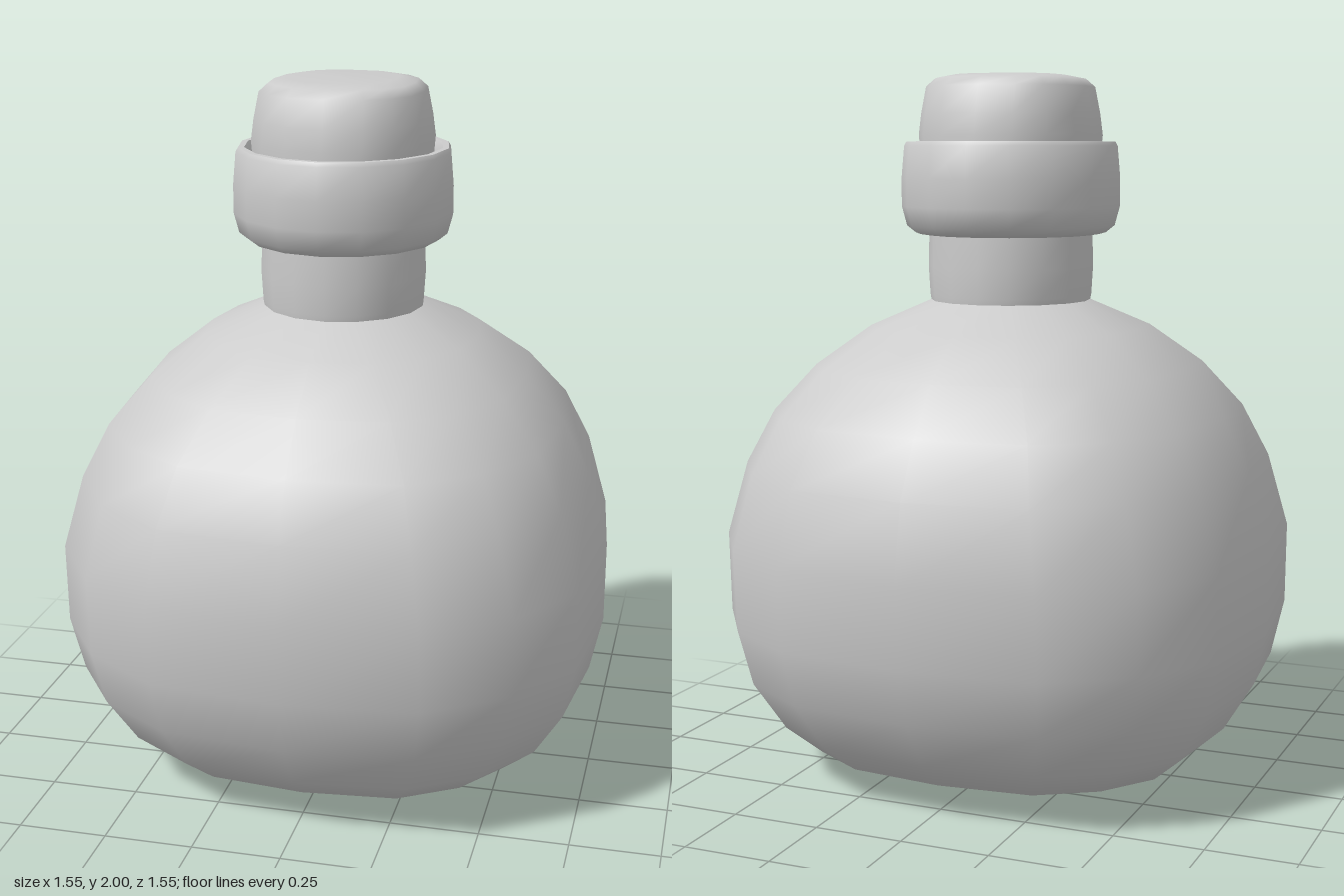
import * as THREE from 'three';
import { toCreasedNormals } from 'three/addons/utils/BufferGeometryUtils.js';

const SIDES = 16;
// One eighth-turn of unit outline: [round point, squarish point]
const OUTLINE = [
  [[1, 0], [1, 0]],
  [[0.924, 0.383], [0.948, 0.476]],
  [[0.707, 0.707], [0.761, 0.757]],
  [[0.383, 0.924], [0.476, 0.948]],
];

// Unit outline point i, blended from round (sq = 0) to squarish (sq = 1)
function outlinePoint(i, sq) {
  const [round, square] = OUTLINE[i % 4];
  let x = THREE.MathUtils.lerp(round[0], square[0], sq);
  let z = THREE.MathUtils.lerp(round[1], square[1], sq);
  for (let q = 0; q < Math.floor(i / 4); q++) [x, z] = [-z, x];
  return [x, z];
}

// Skin through rings listed bottom to top: [y, half width x, half depth z, squareness]
function loft(rings) {
  const pos = [], index = [];
  for (const [y, rx, rz, sq] of rings) {
    for (let i = 0; i < SIDES; i++) {
      const [x, z] = outlinePoint(i, sq);
      pos.push(x * rx, y, z * rz);
    }
  }
  for (let r = 0; r < rings.length - 1; r++) {
    for (let i = 0; i < SIDES; i++) {
      const j = (i + 1) % SIDES;
      const a = r * SIDES + i, b = r * SIDES + j;
      const c = a + SIDES, d = b + SIDES;
      if (rings[r][1] > 0) index.push(a, c, b);
      if (rings[r + 1][1] > 0) index.push(b, c, d);
      // close onto a collapsed ring with a single fan triangle
      if (rings[r][1] === 0) index.push(a, c, d);
      if (rings[r][1] === 0) index.splice(index.length - 6, 3);
    }
  }
  const geo = new THREE.BufferGeometry();
  geo.setAttribute('position', new THREE.Float32BufferAttribute(pos, 3));
  geo.setIndex(index);
  geo.computeVertexNormals();
  return geo;
}

export function createModel() {
  const group = new THREE.Group();
  const material = new THREE.MeshStandardMaterial({ color: 0xcccccc, side: THREE.DoubleSide });
  const add = (name, geometry) => {
    const mesh = new THREE.Mesh(geometry, material);
    mesh.name = name;
    group.add(mesh);
  };

  // Bulbous body: squarish at the belly, round where it meets the neck
  add('body', loft([
    [0, 0, 0, 1],
    [0.01, 0.2, 0.19, 1],
    [0.035, 0.39, 0.36, 1],
    [0.075, 0.56, 0.52, 1],
    [0.16, 0.655, 0.62, 1],
    [0.3, 0.74, 0.71, 1],
    [0.46, 0.775, 0.755, 1],
    [0.69, 0.775, 0.775, 1],
    [0.9, 0.715, 0.735, 1],
    [1.05, 0.64, 0.655, 1],
    [1.18, 0.53, 0.545, 0.85],
    [1.29, 0.39, 0.395, 0.5],
    [1.365, 0.225, 0.235, 0],
  ]));

  // Short neck
  add('neck', loft([
    [1.35, 0.225, 0.235, 0],
    [1.38, 0.23, 0.24, 0],
    [1.46, 0.235, 0.243, 0],
    [1.57, 0.232, 0.24, 0],
  ]));

  // Thick collar with a rim and a shallow recess around the stopper
  add('collar', toCreasedNormals(loft([
    [1.57, 0.22, 0.23, 0],
    [1.55, 0.24, 0.25, 0],
    [1.555, 0.27, 0.285, 0],
    [1.575, 0.295, 0.31, 0],
    [1.63, 0.31, 0.323, 0],
    [1.71, 0.31, 0.323, 0],
    [1.8, 0.302, 0.315, 0],
    [1.812, 0.295, 0.308, 0],
    [1.812, 0.278, 0.29, 0],
    [1.795, 0.268, 0.28, 0],
    [1.76, 0.262, 0.274, 0],
    [1.76, 0.2, 0.2, 0],
  ]), 0.75));

  // Stopper: rounded block with a nearly flat top
  add('stopper', loft([
    [1.76, 0.25, 0.262, 0.2],
    [1.83, 0.254, 0.265, 0.4],
    [1.89, 0.244, 0.254, 0.6],
    [1.965, 0.226, 0.236, 0.9],
    [1.988, 0.2, 0.208, 1],
    [1.998, 0.15, 0.158, 1],
    [2, 0, 0, 1],
  ]));

  return group;
}
